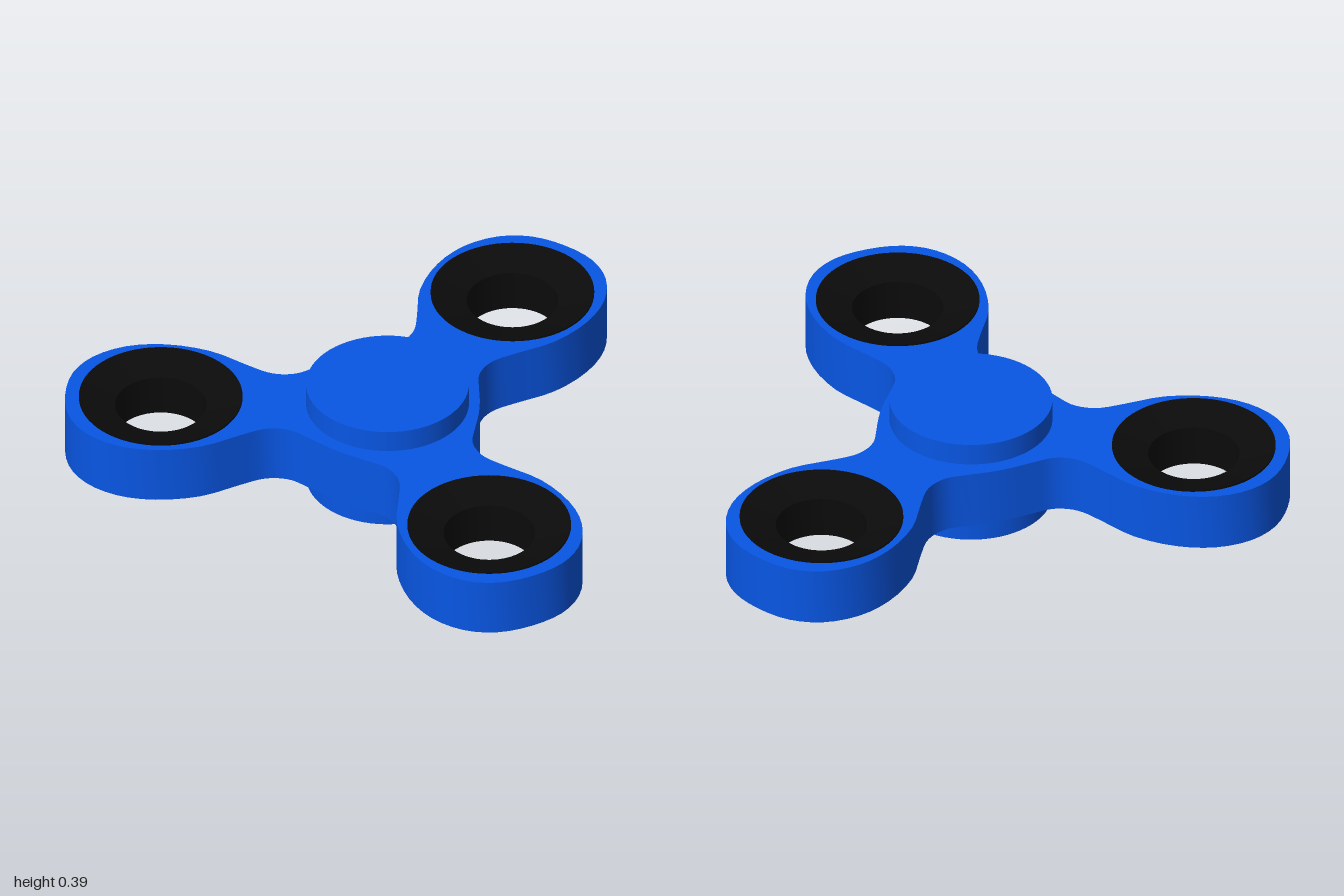
import * as THREE from 'three';
import { toCreasedNormals } from 'three/addons/utils/BufferGeometryUtils.js';

const HUB_Z = 0.195, ARM = 0.774, RING_R = 0.279, HOLE_R = 0.156;
const ANGLES = [0, 1, 2].map((i) => (i * Math.PI * 2) / 3);

const blue = new THREE.MeshStandardMaterial({ color: 0x0856e4 });
blue.name = 'blue plastic';
const black = new THREE.MeshStandardMaterial({ color: 0x0b0b0b });
black.name = 'black ring';

function addMesh(parent, name, geometry, material) {
  const mesh = new THREE.Mesh(geometry, material);
  mesh.name = name;
  parent.add(mesh);
  return mesh;
}

// Three-armed plate: one half arm outline, mirrored and repeated around the hub
function bodyGeometry() {
  const half = [ // [half width, distance along the arm]
    [0, 1.1], [0.124, 1.081], [0.22, 1.018], [0.286, 0.909], [0.305, 0.775],
    [0.275, 0.62], [0.205, 0.495], [0.165, 0.42], [0.156, 0.37], [0.166, 0.315],
    [0.202, 0.26], [0.243, 0.203],
  ];
  const left = half.slice(1).reverse().map(([w, d]) => [-w, d]);
  const outline = [];
  for (const a of ANGLES) {
    for (const [w, d] of [...left, ...half, [0.272, 0.157]]) {
      outline.push(new THREE.Vector3(
        w * Math.cos(a) + d * Math.sin(a), d * Math.cos(a) - w * Math.sin(a), 0));
    }
  }
  const curve = new THREE.CatmullRomCurve3(outline, true, 'centripetal');
  const points = curve.getPoints(216).slice(0, -1).map((p) => new THREE.Vector2(p.x, p.y));
  const shape = new THREE.Shape(points.reverse());
  for (const a of ANGLES) {
    const hole = new THREE.Path();
    hole.absarc(ARM * Math.sin(a), ARM * Math.cos(a), RING_R, 0, Math.PI * 2, true);
    shape.holes.push(hole);
  }
  const geo = new THREE.ExtrudeGeometry(shape, { depth: 0.21, bevelEnabled: false, curveSegments: 32 });
  geo.rotateX(-Math.PI / 2);
  return toCreasedNormals(geo, 0.6);
}

// Weight ring: outer wall, faces sloping in to a straight bore
function ringGeometry() {
  const h = 0.112, bore = 0.074;
  const profile = [
    [HOLE_R, -bore], [RING_R, -h], [RING_R, h], [HOLE_R, bore], [HOLE_R, -bore],
  ].map(([r, y]) => new THREE.Vector2(r, y));
  return toCreasedNormals(new THREE.LatheGeometry(profile, 64), 0.4);
}

export function createModel() {
  const model = new THREE.Group();
  model.name = 'spinner';

  const body = addMesh(model, 'body', bodyGeometry(), blue);
  body.position.set(0, 0.09, HUB_Z);

  // Finger caps joined by a spindle
  const cap = new THREE.CylinderGeometry(0.278, 0.278, 0.08, 64);
  addMesh(model, 'bottomCap', cap, blue).position.set(0, 0.04, HUB_Z);
  addMesh(model, 'topCap', cap, blue).position.set(0, 0.35, HUB_Z);
  const spindle = new THREE.CylinderGeometry(0.08, 0.08, 0.3, 32);
  addMesh(model, 'spindle', spindle, blue).position.set(0, 0.195, HUB_Z);

  // Weight rings at the arm ends
  const ring = ringGeometry();
  for (const a of ANGLES) {
    addMesh(model, 'weightRing', ring, black)
      .position.set(ARM * Math.sin(a), 0.195, HUB_Z - ARM * Math.cos(a));
  }

  return model;
}
